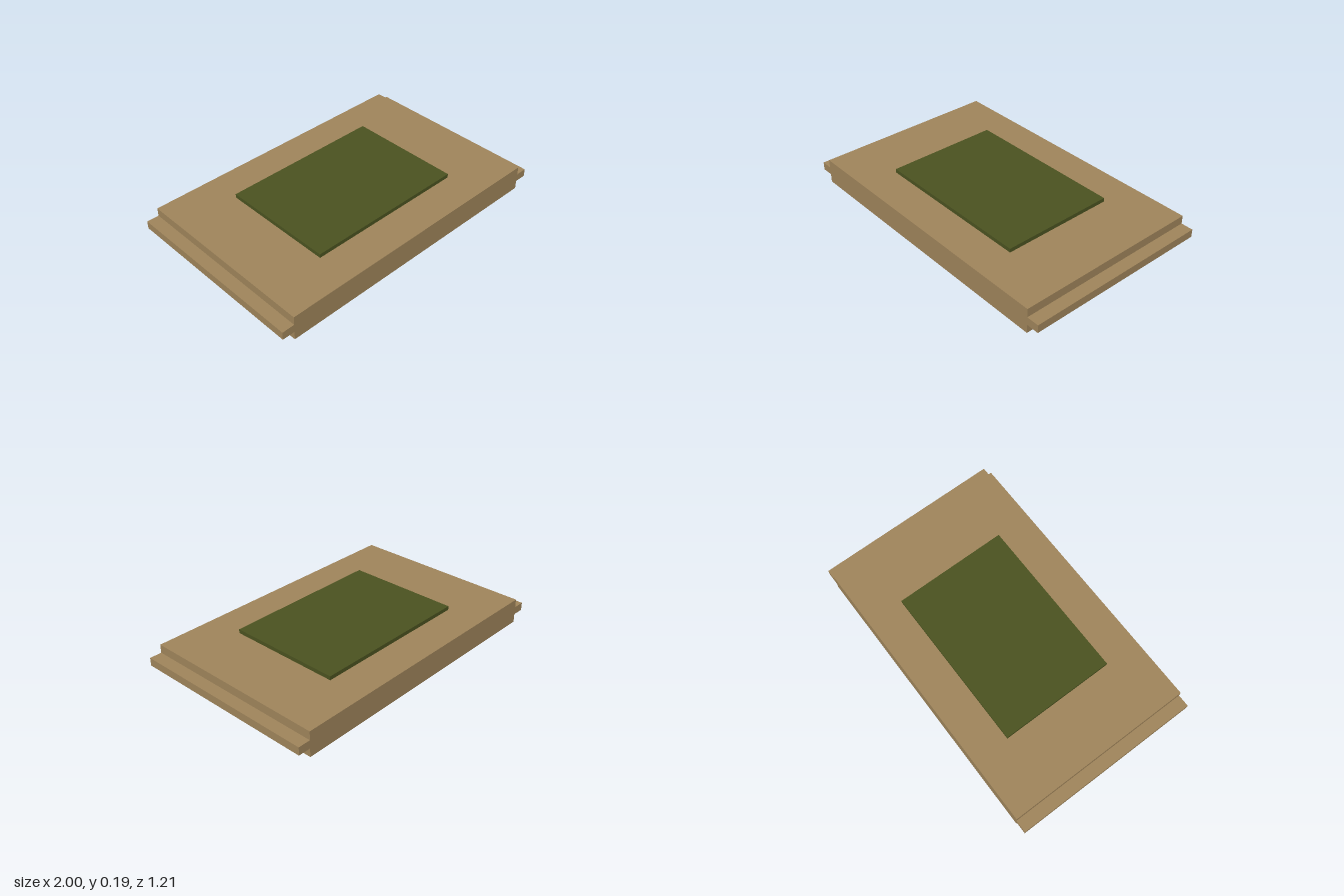
import * as THREE from 'three';

export function createModel() {
  const model = new THREE.Group();
  const tan = new THREE.MeshStandardMaterial({ color: 0xa0855b });
  tan.name = 'tan';
  const green = new THREE.MeshStandardMaterial({ color: 0x4b5320 });
  green.name = 'dark green';

  const bodyX = 0.922, bodyTop = 0.16, depth = 1.206;
  const tongueBottom = 0.055, tongueTop = 0.106;

  // Slab with a tongue along each short end, extruded front to back
  const rightHalf = [
    [bodyX, 0], [bodyX, tongueBottom], [1, tongueBottom],
    [1, tongueTop], [bodyX, tongueTop], [bodyX, bodyTop],
  ];
  const leftHalf = rightHalf.map(([x, y]) => [-x, y]).reverse();
  const profile = new THREE.Shape(
    [...rightHalf, ...leftHalf].map(([x, y]) => new THREE.Vector2(x, y))
  );
  const slabGeometry = new THREE.ExtrudeGeometry(profile, { depth, bevelEnabled: false });
  slabGeometry.translate(0, 0, -depth / 2);
  const slab = new THREE.Mesh(slabGeometry, tan);
  slab.name = 'slab';
  model.add(slab);

  // Raised panel on the top
  const padHeight = 0.025;
  const pad = new THREE.Mesh(new THREE.BoxGeometry(1.055, padHeight, 0.735), green);
  pad.name = 'topPanel';
  pad.position.y = bodyTop + padHeight / 2;
  model.add(pad);

  return model;
}
